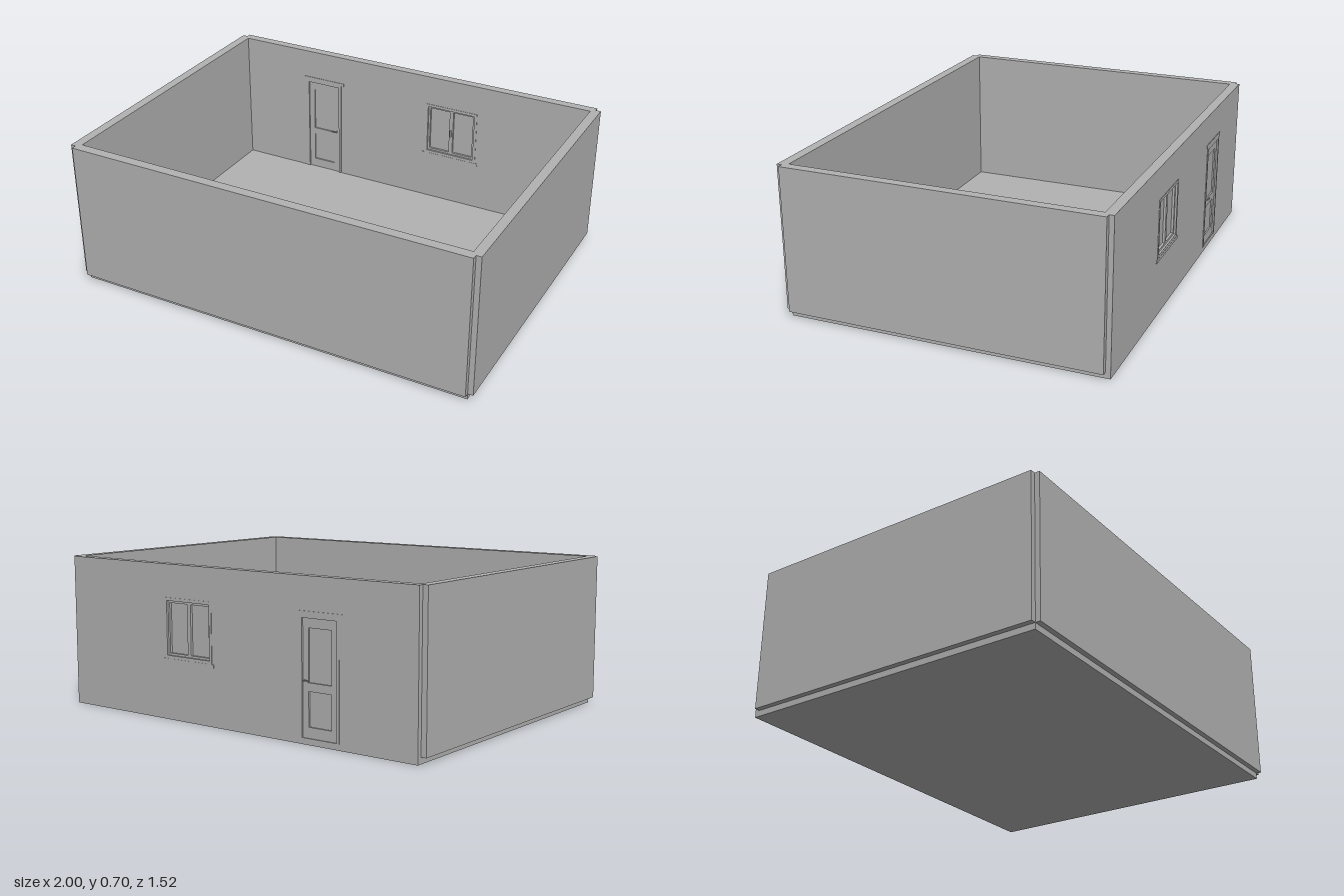
import * as THREE from 'three';

const plaster = new THREE.MeshStandardMaterial({ color: 0xb2b2b2 });
plaster.name = 'grey plaster';

// Box given by its limits on each axis
function block(parent, name, x0, x1, y0, y1, z0, z1) {
  const mesh = new THREE.Mesh(new THREE.BoxGeometry(x1 - x0, y1 - y0, z1 - z0), plaster);
  mesh.position.set((x0 + x1) / 2, (y0 + y1) / 2, (z0 + z1) / 2);
  mesh.name = name;
  parent.add(mesh);
  return mesh;
}

// Four bars around a rectangular opening
function frame(parent, name, x0, x1, y0, y1, z0, z1, w) {
  block(parent, name + 'SideA', x0, x0 + w, y0, y1, z0, z1);
  block(parent, name + 'SideB', x1 - w, x1, y0, y1, z0, z1);
  block(parent, name + 'Top', x0 + w, x1 - w, y1 - w, y1, z0, z1);
  block(parent, name + 'Bottom', x0 + w, x1 - w, y0, y0 + w, z0, z1);
}

const FLOOR = 0.028, TOP = 0.705;
const OUT = -0.75, IN = -0.705, MID = (OUT + IN) / 2;
const DOOR = { x0: -0.595, x1: -0.388, y0: FLOOR, y1: 0.545 };
const WIN = { x0: 0.102, x1: 0.384, y0: 0.28, y1: 0.555 };

function backWall() {
  const shape = new THREE.Shape([
    [-0.975, FLOOR], [DOOR.x0, FLOOR], [DOOR.x0, DOOR.y1], [DOOR.x1, DOOR.y1],
    [DOOR.x1, FLOOR], [0.975, FLOOR], [0.975, TOP], [-0.975, TOP],
  ].map(([x, y]) => new THREE.Vector2(x, y)));
  shape.holes.push(new THREE.Path([
    [WIN.x0, WIN.y0], [WIN.x0, WIN.y1], [WIN.x1, WIN.y1], [WIN.x1, WIN.y0],
  ].map(([x, y]) => new THREE.Vector2(x, y))));
  const geo = new THREE.ExtrudeGeometry(shape, { depth: IN - OUT, bevelEnabled: false });
  const mesh = new THREE.Mesh(geo, plaster);
  mesh.position.z = OUT;
  mesh.name = 'backWall';
  return mesh;
}

function door() {
  const g = new THREE.Group();
  g.name = 'door';
  const { x0, x1, y0, y1 } = DOOR, z0 = OUT - 0.003, z1 = IN + 0.003, w = 0.014;
  // Frame and head trim
  block(g, 'doorJambA', x0, x0 + w, y0, y1, z0, z1);
  block(g, 'doorJambB', x1 - w, x1, y0, y1, z0, z1);
  block(g, 'doorHead', x0 + w, x1 - w, y1 - w, y1, z0, z1);
  block(g, 'doorLintel', -0.61, -0.373, y1, y1 + 0.015, z0, z1);
  // Leaf: stiles, rails and two sunken panels
  const a = x0 + w, b = x1 - w, s = 0.03, l0 = MID - 0.018, l1 = MID + 0.018;
  block(g, 'stileA', a, a + s, y0, y1 - w, l0, l1);
  block(g, 'stileB', b - s, b, y0, y1 - w, l0, l1);
  for (const [r0, r1] of [[y0, 0.075], [0.225, 0.262], [0.49, y1 - w]])
    block(g, 'rail', a + s, b - s, r0, r1, l0, l1);
  for (const [p0, p1] of [[0.075, 0.225], [0.262, 0.49]])
    block(g, 'panel', a + s, b - s, p0, p1, MID - 0.011, MID + 0.011);
  // Lever handles on both faces
  for (const d of [-1, 1]) {
    const face = MID + d * 0.018, tip = MID + d * 0.0335;
    block(g, 'handleNeck', b - 0.017, b - 0.011, 0.267, 0.273, Math.min(face, tip), Math.max(face, tip));
    const t = MID + d * 0.031;
    block(g, 'handleLever', b - 0.04, b - 0.011, 0.267, 0.273, t - 0.0025, t + 0.0025);
  }
  return g;
}

function windowUnit() {
  const g = new THREE.Group();
  g.name = 'window';
  const { x0, x1, y0, y1 } = WIN, w = 0.014, mid = (x0 + x1) / 2;
  frame(g, 'windowFrame', x0, x1, y0, y1, OUT - 0.002, IN + 0.002, w);
  block(g, 'windowSill', 0.09, 0.398, y0 - 0.015, y0, OUT - 0.003, IN + 0.003);
  // Two sashes with panes
  for (const [a, b] of [[x0 + w, mid], [mid, x1 - w]]) {
    frame(g, 'sash', a, b, y0 + w, y1 - w, MID - 0.015, MID + 0.015, 0.01);
    block(g, 'pane', a + 0.01, b - 0.01, y0 + w + 0.01, y1 - w - 0.01, MID - 0.004, MID + 0.004);
  }
  // Inside catch
  block(g, 'windowCatch', mid - 0.004, mid + 0.004, 0.395, 0.43, MID + 0.015, MID + 0.022);
  return g;
}

export function createModel() {
  const model = new THREE.Group();
  model.name = 'room';
  block(model, 'floorSlab', -0.975, 0.975, 0, FLOOR, OUT, 0.733);
  // Walls overlap at stepped corners
  block(model, 'frontWall', -0.975, 0.975, FLOOR, TOP, 0.71, 0.757);
  for (const [name, x0, x1] of [['leftWall', 0.955, 1], ['rightWall', -1, -0.955]]) {
    const inner = name === 'leftWall' ? [0.955, 0.975] : [-0.975, -0.955];
    const outer = name === 'leftWall' ? [0.975, x1] : [x0, -0.975];
    block(model, name + 'Inner', ...inner, FLOOR, TOP, IN, 0.71);
    block(model, name, ...outer, FLOOR, TOP, -0.728, 0.733);
  }
  model.add(backWall(), door(), windowUnit());
  return model;
}
